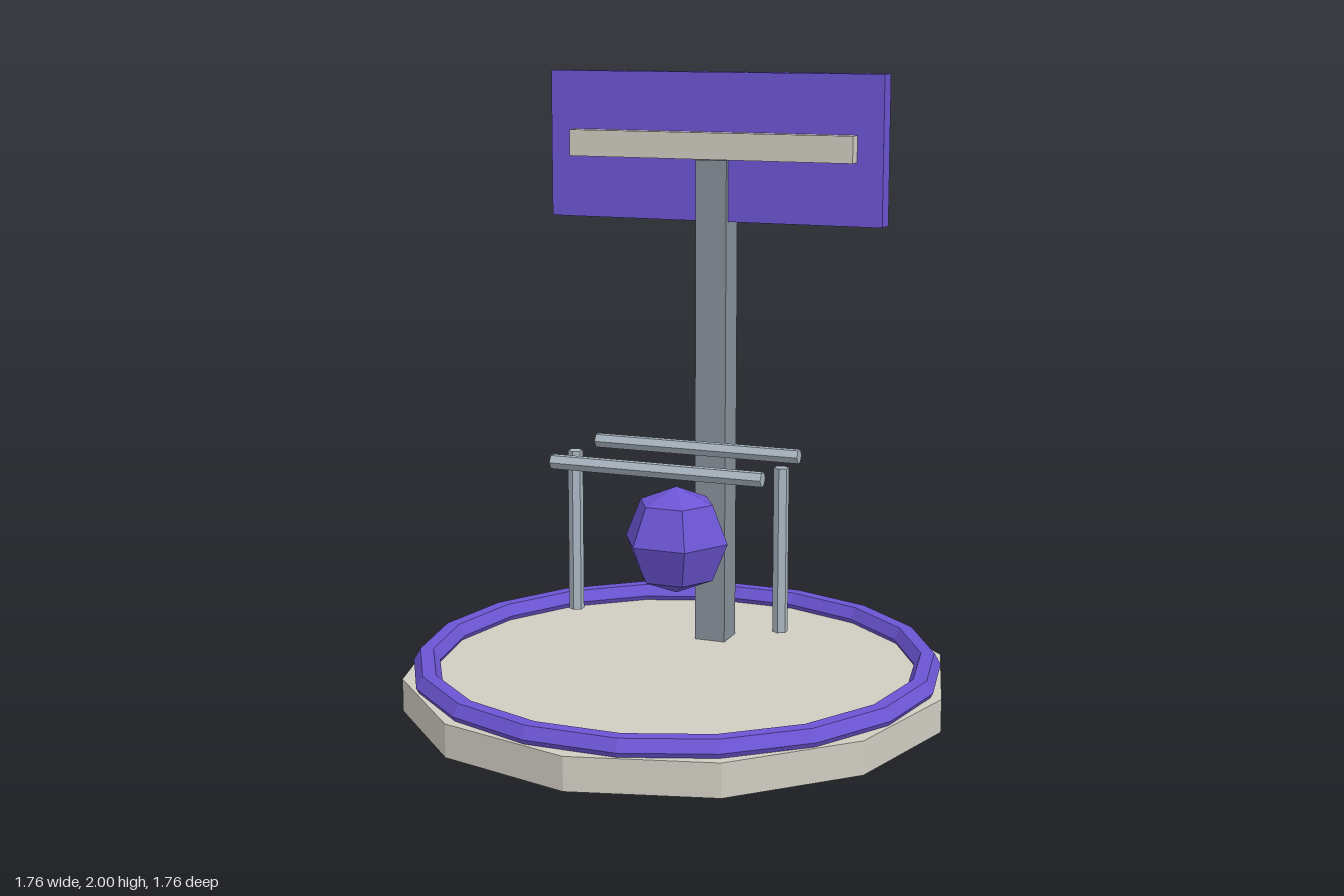
import * as THREE from 'three';

const material = (name, color) => {
  const m = new THREE.MeshStandardMaterial({ color, flatShading: true });
  m.name = name;
  return m;
};

export function createModel() {
  const model = new THREE.Group();
  model.name = 'hoopStand';
  const purple = material('purple', 0x6c55d4);
  const stone = material('warm stone', 0xd0cdc2);
  const steel = material('dark steel', 0x87919b);
  const lightSteel = material('light steel', 0xaab7c2);

  const add = (name, geometry, mat, x, y, z) => {
    const mesh = new THREE.Mesh(geometry, mat);
    mesh.name = name;
    mesh.position.set(x, y, z);
    model.add(mesh);
    return mesh;
  };

  // Twelve-sided base with a raised rim
  add('base', new THREE.CylinderGeometry(0.88, 0.88, 0.106, 12), stone, 0, 0.053, 0);
  add('rim', new THREE.TorusGeometry(0.81, 0.043, 6, 18), purple, 0, 0.122, 0).rotation.x = -Math.PI / 2;

  // Post, board and the bar across its front
  add('post', new THREE.BoxGeometry(0.106, 1.614, 0.106), steel, 0, 0.912, -0.355);
  add('board', new THREE.BoxGeometry(1.144, 0.48, 0.07), purple, 0, 1.76, -0.353);
  add('bar', new THREE.BoxGeometry(0.972, 0.086, 0.08), stone, 0, 1.766, -0.31);

  // Floating faceted ball
  add('ball', new THREE.SphereGeometry(0.175, 6, 4), purple, 0, 0.53, 0);

  // Uprights at the sides, rails at front and back
  for (const s of [-1, 1]) {
    const side = s > 0 ? 'left' : 'right';
    add(side + 'Upright', new THREE.CylinderGeometry(0.0245, 0.0245, 0.53, 6), lightSteel, s * 0.352, 0.53, 0);
    const rail = new THREE.CylinderGeometry(0.0245, 0.0245, 0.704, 6).rotateZ(Math.PI / 2);
    add(s > 0 ? 'frontRail' : 'backRail', rail, lightSteel, 0, 0.794, s * 0.176);
  }
  return model;
}
